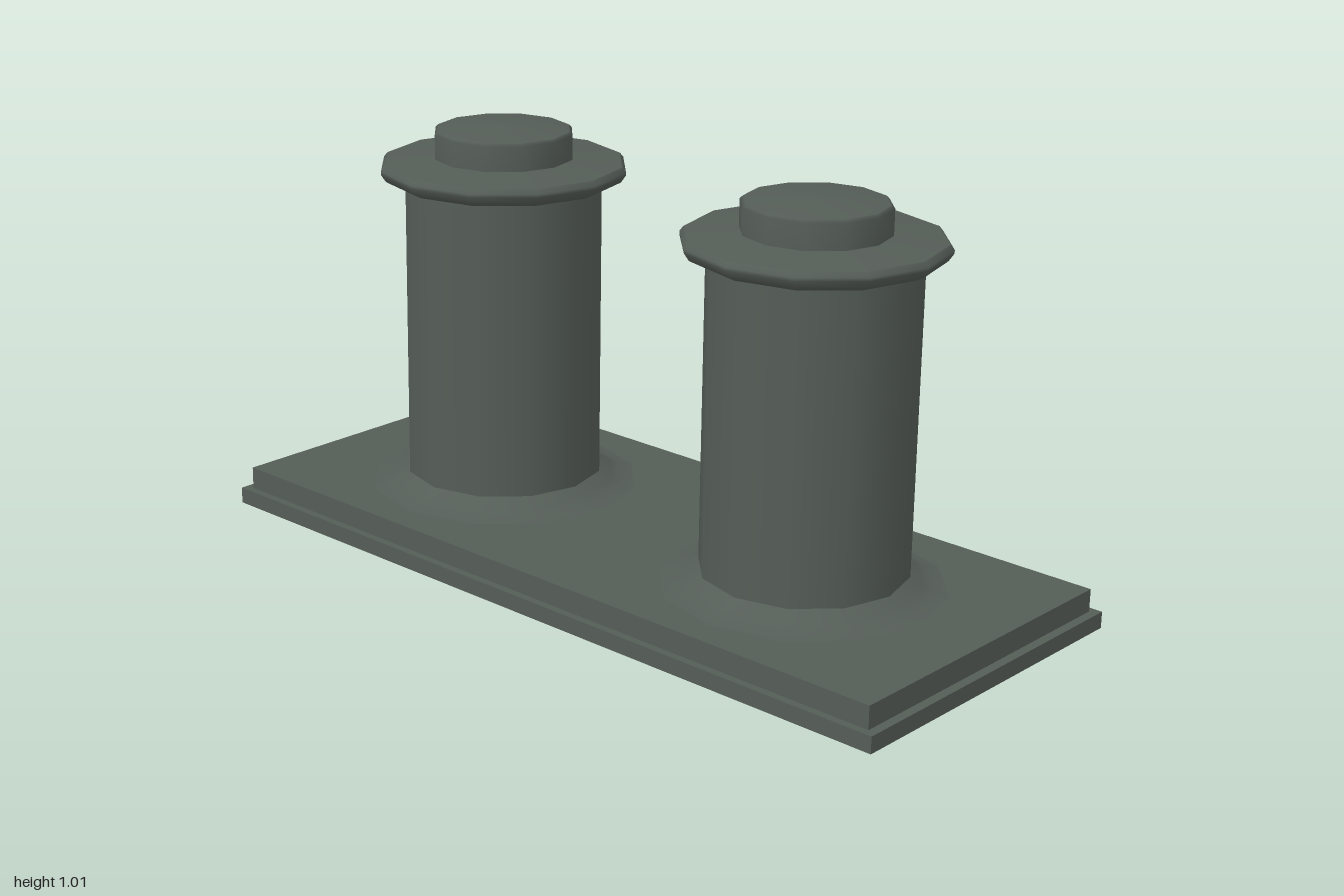
import * as THREE from 'three';

const SIDES = 12;
const material = new THREE.MeshStandardMaterial({ color: 0x555d57, side: THREE.DoubleSide });

function addMesh(parent, name, geometry, y = 0) {
  const mesh = new THREE.Mesh(geometry, material);
  mesh.name = name;
  mesh.position.y = y;
  parent.add(mesh);
}

// Revolved part from [radius, height] pairs, listed bottom to top
function turned(parent, name, profile) {
  const points = profile.map(([r, y]) => new THREE.Vector2(r, y));
  addMesh(parent, name, new THREE.LatheGeometry(points, SIDES));
}

function createBollard(name) {
  const bollard = new THREE.Group();
  bollard.name = name;
  turned(bollard, 'footFlare', [[0.34, 0.094], [0.30, 0.10], [0.275, 0.113], [0.243, 0.132]]);
  turned(bollard, 'post', [[0.243, 0.13], [0.243, 0.864]]);
  // Rim: underside, rounded edge and gently sloping top
  turned(bollard, 'rimUnderside', [[0.235, 0.862], [0.272, 0.865]]);
  turned(bollard, 'rimEdge', [[0.272, 0.865], [0.29, 0.874], [0.302, 0.892], [0.302, 0.9], [0.293, 0.911]]);
  turned(bollard, 'rimTop', [[0.293, 0.911], [0.165, 0.922]]);
  // Cap with a shallow dome
  turned(bollard, 'capSide', [[0.17, 0.918], [0.17, 0.982], [0.163, 0.989]]);
  turned(bollard, 'capDome', [[0.163, 0.989], [0.09, 0.998], [0, 1.002]]);
  return bollard;
}

export function createModel() {
  const model = new THREE.Group();
  model.name = 'twinBollard';

  // Whole piece leans very slightly backwards
  const body = new THREE.Group();
  body.name = 'body';
  body.rotation.set(-0.018, 0, -0.0035);
  body.position.y = 0.0113;
  model.add(body);

  // Stepped base plate
  addMesh(body, 'basePlate', new THREE.BoxGeometry(2, 0.04, 0.862), 0.02);
  addMesh(body, 'baseStep', new THREE.BoxGeometry(1.955, 0.056, 0.824), 0.067);

  for (const [name, x] of [['rightBollard', -0.48], ['leftBollard', 0.48]]) {
    const bollard = createBollard(name);
    bollard.position.set(x, 0, 0.009);
    body.add(bollard);
  }
  return model;
}
